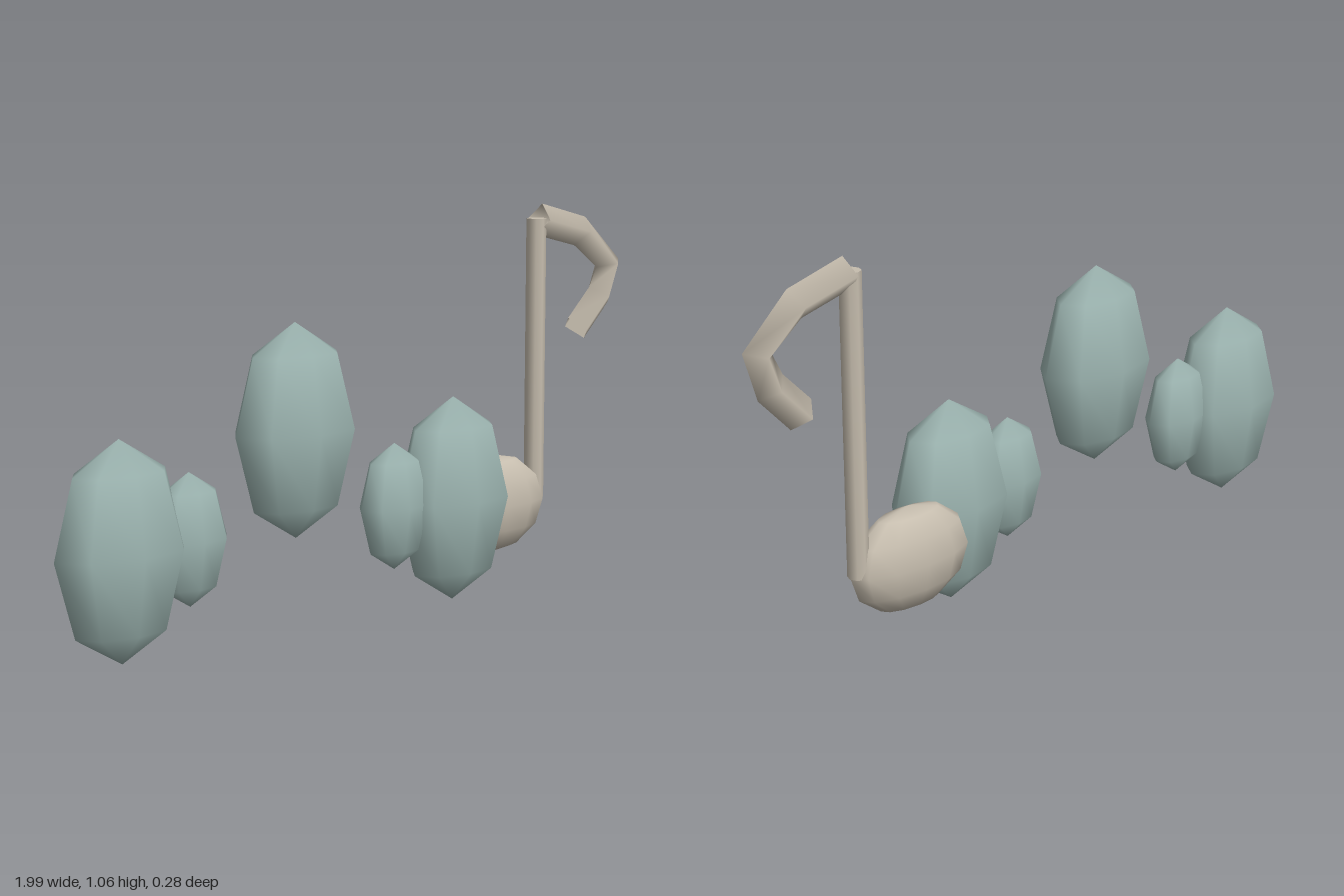
import * as THREE from 'three';

export function createModel() {
  const model = new THREE.Group();
  const teal = new THREE.MeshStandardMaterial({ color: 0x9db5b1 });
  teal.name = 'greyTeal';
  const beige = new THREE.MeshStandardMaterial({ color: 0xc6bdae, side: THREE.DoubleSide });
  beige.name = 'warmBeige';

  const add = (name, geometry, material, x = 0, y = 0, z = 0) => {
    const mesh = new THREE.Mesh(geometry, material);
    mesh.name = name;
    mesh.position.set(x, y, z);
    model.add(mesh);
    return mesh;
  };

  // Large and small faceted leaf lobes
  const lobeZ = 0.033;
  const large = new THREE.SphereGeometry(1, 8, 4).scale(0.19, 0.28, 0.108);
  const small = new THREE.SphereGeometry(1, 8, 4).scale(0.114, 0.171, 0.066);
  [[-0.81, 0.28], [-0.27, 0.523], [0.27, 0.28]].forEach(([x, y], i) =>
    add(`largeLobe${i + 1}`, large, teal, x, y, lobeZ));
  [-0.605, 0.062].forEach((x, i) =>
    add(`smallLobe${i + 1}`, small, teal, x, 0.284, lobeZ));

  // Rounded body at the foot of the stem
  const backZ = -0.065;
  add('body', new THREE.SphereGeometry(1, 12, 6).scale(0.193, 0.14, 0.077), beige, 0.5, 0.222, backZ);

  // Upright stem
  add('stem', new THREE.CylinderGeometry(0.028, 0.028, 0.795, 8), beige, 0.667, 0.618, backZ);

  // Four-sided hook, with one tube ring at each path point
  const path = new THREE.CatmullRomCurve3(
    [[0.678, 1.012], [0.838, 0.971], [0.951, 0.874], [0.917, 0.783], [0.829, 0.693]]
      .map(([x, y]) => new THREE.Vector3(x, y, 0)));
  path.getUtoTmapping = (u) => u;
  add('hook', new THREE.TubeGeometry(path, 4, 0.045, 4), beige, 0, 0, backZ);

  return model;
}
